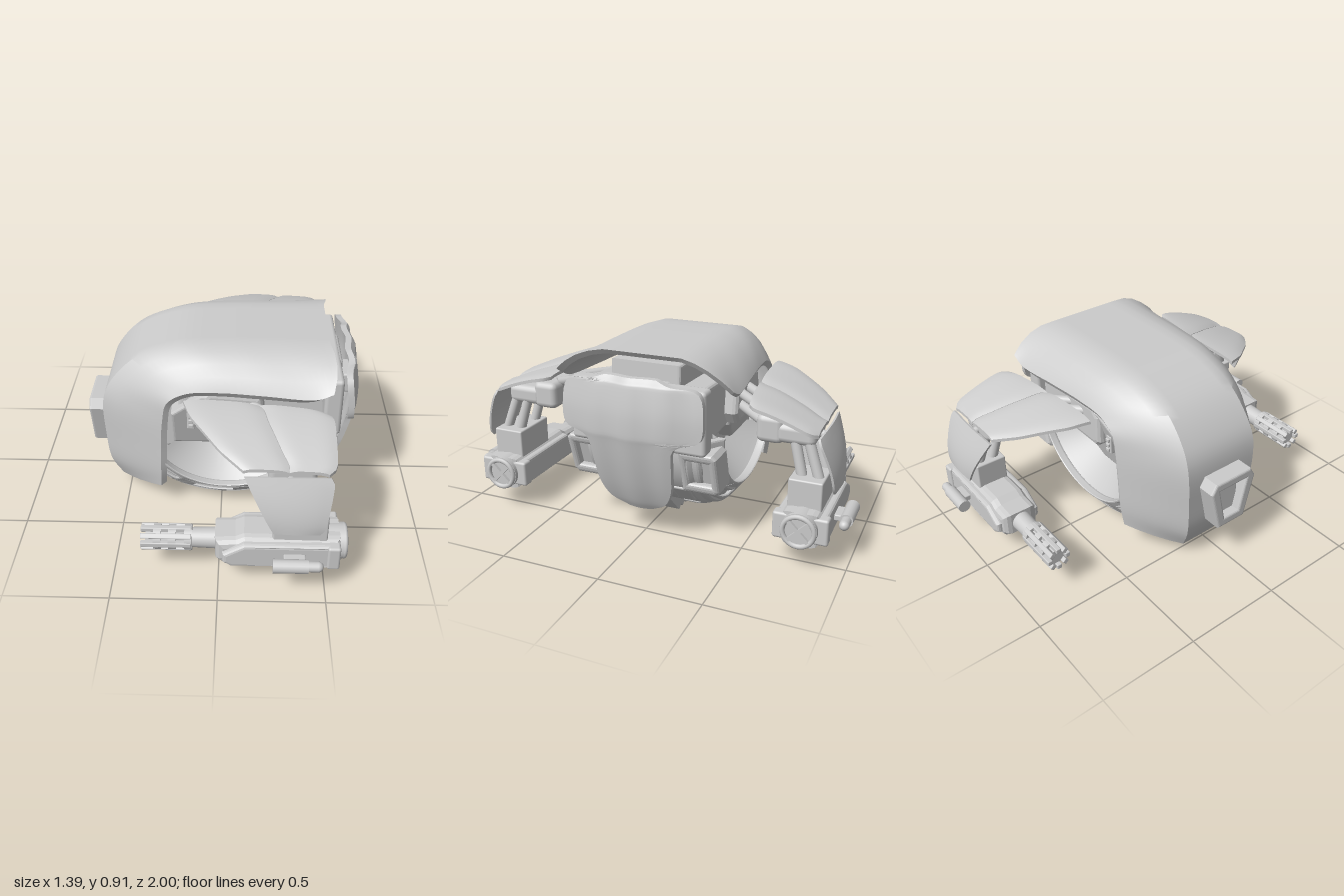
import * as THREE from 'three';
import { toCreasedNormals } from 'three/addons/utils/BufferGeometryUtils.js';
import { RoundedBoxGeometry } from 'three/addons/geometries/RoundedBoxGeometry.js';

const V = (x, y, z) => new THREE.Vector3(x, y, z);
const grey = new THREE.MeshStandardMaterial({ color: 0xcccccc });
const openGrey = new THREE.MeshStandardMaterial({ color: 0xcccccc, side: THREE.DoubleSide });
const { lerp, degToRad, smoothstep } = THREE.MathUtils;

function add(group, name, geo, material = grey) {
  const mesh = new THREE.Mesh(geo, material);
  mesh.name = name;
  group.add(mesh);
}

// rounded box given by its ranges on each axis
function box(x0, x1, y0, y1, z0, z1, r = 0.012) {
  return new RoundedBoxGeometry(x1 - x0, y1 - y0, z1 - z0, 2, r)
    .translate((x0 + x1) / 2, (y0 + y1) / 2, (z0 + z1) / 2);
}

function rod(a, b, r, r2 = r, sides = 16) {
  const d = b.clone().sub(a);
  const q = new THREE.Quaternion().setFromUnitVectors(V(0, 1, 0), d.clone().normalize());
  const c = a.clone().add(b).multiplyScalar(0.5);
  return new THREE.CylinderGeometry(r2, r, d.length(), sides).applyQuaternion(q).translate(c.x, c.y, c.z);
}

// side outline (x, y) extruded from z0 to z1 with bevelled edges
function prism(pts, z0, z1, b = 0.015, hole) {
  const shape = new THREE.Shape(pts.map(p => new THREE.Vector2(...p)));
  if (hole) shape.holes.push(new THREE.Path(hole.map(p => new THREE.Vector2(...p))));
  return new THREE.ExtrudeGeometry(shape, {
    depth: z1 - z0 - 2 * b, bevelEnabled: b > 0, bevelSize: b, bevelThickness: b, bevelOffset: -b, bevelSegments: 3,
  }).translate(0, 0, z0 + b);
}

// outline (z, y) with a hole, extruded along x
const facing = (pts, x0, x1, b, hole) => prism(pts, x0, x1, b, hole).rotateY(Math.PI / 2);

// thick curved panel: outer surface f(u, v), inner surface g(u, v)
function panel(f, g, nu, nv, crease = 0.6) {
  const pos = [], idx = [], L = 2 * (nv + 1);
  for (let i = 0; i <= nu; i++) {
    for (let j = 0; j <= nv; j++) pos.push(...f(i / nu, j / nv).toArray());
    for (let j = nv; j >= 0; j--) pos.push(...g(i / nu, j / nv).toArray());
  }
  const quad = (a, b, c, d) => idx.push(a, b, c, a, c, d);
  for (let i = 0; i < nu; i++) for (let j = 0; j < L; j++) {
    const k = (j + 1) % L;
    quad(i * L + j, i * L + k, (i + 1) * L + k, (i + 1) * L + j);
  }
  const e = nu * L;
  for (let j = 0; j < nv; j++) {
    quad(j, L - 1 - j, L - 2 - j, j + 1);
    quad(e + j, e + j + 1, e + L - 2 - j, e + L - 1 - j);
  }
  // turn the faces outward when the enclosed volume is negative
  const p = i => V(pos[3 * i], pos[3 * i + 1], pos[3 * i + 2]);
  let vol = 0;
  for (let i = 0; i < idx.length; i += 3) vol += p(idx[i]).dot(p(idx[i + 1]).cross(p(idx[i + 2])));
  if (vol < 0) idx.reverse();
  const geo = new THREE.BufferGeometry();
  geo.setAttribute('position', new THREE.Float32BufferAttribute(pos, 3));
  geo.setIndex(idx);
  return toCreasedNormals(geo, crease);
}

// arched cover: ridge line over the middle, edge line down each side
function shell() {
  const ridge = new THREE.CatmullRomCurve3([V(0.52, 0.91, 0.2), V(0.25, 0.912, 0.2), V(0, 0.91, 0.2), V(-0.22, 0.893, 0.2),
    V(-0.42, 0.82, 0.2), V(-0.55, 0.69, 0.205), V(-0.6, 0.58, 0.21), V(-0.605, 0.35, 0.2), V(-0.59, 0.18, 0.19), V(-0.54, 0.065, 0.17)]);
  const edge = new THREE.CatmullRomCurve3([V(0.525, 0.785, 0.455), V(0.45, 0.755, 0.455), V(0.2, 0.755, 0.43), V(0, 0.755, 0.41),
    V(-0.17, 0.735, 0.395), V(-0.26, 0.68, 0.395), V(-0.285, 0.58, 0.395), V(-0.3, 0.4, 0.39), V(-0.305, 0.25, 0.385), V(-0.31, 0.145, 0.37)]);
  const side = [0, 0.25, 0.5, 0.75, 0.93, 1];
  const outer = (u, v) => {
    const s = v * 2 - 1, a = Math.abs(s);
    const R = ridge.getPoint(u), E = edge.getPoint(u);
    if (a < 0.4) return V(R.x, R.y, R.z * s / 0.4);
    const k = side[Math.round((a - 0.4) / 0.12)], q = R.clone().lerp(E, k);
    const bulge = (0.13 - 0.09 * smoothstep(u, 0.3, 0.65)) * k * (1 - k);
    q.add(V(q.x - 0.15, q.y - 0.4, 0).normalize().multiplyScalar(bulge));
    return V(q.x, q.y, (q.z + bulge * 0.35) * Math.sign(s));
  };
  const inner = (u, v) => {
    const q = outer(u, v), d = V(0.1 - q.x, 0.35 - q.y, 0).normalize().multiplyScalar(0.03);
    return V(q.x + d.x, q.y + d.y, q.z * 0.96);
  };
  return panel(outer, inner, 48, 20, 0.6);
}

// rear T-shaped guard: curve holds x, y and half width
function rearGuard() {
  const c = new THREE.CatmullRomCurve3([V(0.645, 0.832, 0.13), V(0.66, 0.81, 0.2), V(0.67, 0.785, 0.33), V(0.688, 0.67, 0.355),
    V(0.69, 0.57, 0.34), V(0.682, 0.52, 0.22), V(0.655, 0.4, 0.2), V(0.62, 0.28, 0.185), V(0.585, 0.19, 0.14), V(0.56, 0.145, 0.06)]);
  const f = (u, v) => {
    const q = c.getPoint(u), z = q.z * (2 * v - 1);
    return V(q.x - 0.4 * z * z + 0.005 * Math.cos(z * 35), q.y, z);
  };
  return panel(f, (u, v) => f(u, v).add(V(-0.03, 0, 0)), 36, 16);
}

// lower ring segment with arc slots, sloping inward toward its outer edge
function slottedRim() {
  const s = new THREE.Shape(), a0 = degToRad(-150), a1 = degToRad(3);
  s.absarc(0, 0, 0.43, a0, a1, false);
  s.absarc(0, 0, 0.335, a1, a0, true);
  for (const deg of [-137, -99, -61, -23]) {
    const a = degToRad(deg - 14), b = degToRad(deg + 14), h = new THREE.Path();
    h.absarc(0, 0, 0.415, Math.max(a, a0 + 0.03), b, false);
    h.absarc(0, 0, 0.365, b, Math.max(a, a0 + 0.03), true);
    s.holes.push(h);
  }
  const geo = new THREE.ExtrudeGeometry(s, { depth: 0.03, bevelSize: 0.01, bevelThickness: 0.01, bevelSegments: 2, curveSegments: 48 });
  const p = geo.attributes.position;
  for (let i = 0; i < p.count; i++) p.setZ(i, p.getZ(i) + 0.335 - 0.8 * (Math.hypot(p.getX(i), p.getY(i)) - 0.335));
  geo.computeVertexNormals();
  return geo.scale(1.17, 1, 1).translate(0.03, 0.485, 0);
}

function buildSide() {
  const g = new THREE.Group();
  add(g, 'slottedRim', slottedRim());
  // shoulder block sloping under, socket and button panel
  const slope = new THREE.Matrix4().makeShear(0, 0, 0, 0.3, 0, 0).setPosition(0, 0, -0.17);
  add(g, 'shoulderBlock', prism([[-0.25, 0.35], [0, 0.35], [0.12, 0.46], [0.2, 0.7], [-0.1, 0.7], [-0.25, 0.57]], 0.1, 0.33, 0.015).applyMatrix4(slope));
  add(g, 'shoulderSocket', prism([[-0.11, 0.53], [-0.08, 0.5], [0.18, 0.5], [0.22, 0.56], [0.2, 0.71], [-0.06, 0.73], [-0.11, 0.68]], 0.25, 0.37, 0.03));
  add(g, 'buttonPanel', box(-0.17, -0.13, 0.49, 0.59, 0.3, 0.34, 0.006));
  for (let i = 0; i < 3; i++) add(g, 'button', box(-0.162, -0.138, 0.502 + i * 0.028, 0.522 + i * 0.028, 0.33, 0.35, 0.004));
  // rear vent, leaning back
  const lean = new THREE.Matrix4().makeShear(0, 0, 0.3, 0, 0, 0).setPosition(-0.144, 0, 0);
  add(g, 'ventFrame', facing([[-0.39, 0.27], [-0.37, 0.25], [-0.2, 0.25], [-0.2, 0.48], [-0.37, 0.48], [-0.39, 0.46]], 0.42, 0.58, 0.018,
    [[-0.35, 0.3], [-0.24, 0.3], [-0.24, 0.43], [-0.35, 0.43]]).applyMatrix4(lean));
  add(g, 'ventFloor', box(0.42, 0.54, 0.28, 0.45, 0.22, 0.37).applyMatrix4(lean));
  // upper arm
  for (const dx of [0, 0.11]) for (const y of [0.595, 0.655])
    add(g, 'upperArmRod', rod(V(0.02 + dx, y, 0.34), V(0.25 + dx, y, 0.56), 0.024));
  add(g, 'elbow', box(0.18, 0.44, 0.53, 0.665, 0.53, 0.66, 0.03));
  add(g, 'elbowEnd', box(0.22, 0.44, 0.54, 0.635, 0.62, 0.81, 0.03));
  add(g, 'wingPost', rod(V(0.3, 0.62, 0.62), V(0.3, 0.69, 0.64), 0.03));
  add(g, 'skirtBracket', rod(V(0.32, 0.58, 0.78), V(0.32, 0.56, 0.865), 0.02));
  // forearm
  for (const x of [0.3, 0.43]) for (const dz of [0, 0.08])
    add(g, 'forearmRod', rod(V(x - 0.02, 0.57, 0.71 + dz * 0.8), V(x, 0.38, 0.76 + dz), 0.025));
  add(g, 'gunMount', box(0.25, 0.5, 0.22, 0.405, 0.71, 0.87, 0.008));
  // wing plates
  const left = new THREE.CatmullRomCurve3([V(-0.175, 0, 0), V(-0.14, 0, 0), V(-0.07, 0, 0), V(0.005, 0, 0), V(0.11, 0, 0)]);
  for (const [a, b] of [[0, 0.535], [0.54, 1]]) {
    const f = (u, t) => {
      const v = lerp(a, b, t), tip = Math.pow(Math.abs(2 * u - 1), 8) * 0.04;
      return V(lerp(left.getPoint(u).x, 0.525 - tip, v), 0.752 - 0.1 * Math.pow(u, 1.5) - 0.015 * v - 0.012 * Math.pow(2 * t - 1, 4),
        lerp(0.455 + 0.06 * v * v, 0.835, u));
    };
    add(g, 'wingPlate', panel(f, (u, t) => f(u, t).add(V(0, -0.016, 0)), 14, 12));
  }
  // skirt plate
  const skirt = (u, v) => V(lerp(lerp(0.115, 0.25, u), lerp(0.515, 0.475, u) - 0.02 * Math.pow(2 * u - 1, 8), v),
    0.62 - 0.265 * u - 0.008 * Math.pow(2 * v - 1, 4), 0.855 + 0.075 * Math.sin(u * Math.PI / 2) - 0.01 * Math.pow(2 * v - 1, 2));
  add(g, 'skirtPlate', panel(skirt, (u, v) => skirt(u, v).add(V(0, -0.003, -0.01)), 12, 10));
  addGun(g);
  return g;
}

function addGun(side) {
  const g = new THREE.Group();
  g.name = 'gun';
  side.add(g);
  const y = 0.195, z = 0.79;
  // body with recessed side panels
  add(g, 'gunBody', prism([[-0.015, 0.14], [0.02, 0.11], [0.56, 0.11], [0.56, 0.275], [0.12, 0.28], [0.08, 0.26], [-0.015, 0.255]], 0.695, 0.885, 0.04));
  for (const [z0, z1] of [[0.67, 0.72], [0.86, 0.91]]) {
    add(g, 'gunSidePanel', prism([[0.06, 0.125], [0.54, 0.125], [0.54, 0.26], [0.12, 0.26], [0.02, 0.2], [0.02, 0.15]], z0, z1, 0.018,
      [[0.19, 0.155], [0.5, 0.155], [0.5, 0.235], [0.19, 0.235]]));
  }
  add(g, 'gunRear', box(0.5, 0.56, 0.13, 0.26, 0.66, 0.92));
  // round rear end with ring and cross
  add(g, 'gunRearCollar', rod(V(0.5, y, z), V(0.58, y, z), 0.085, 0.085, 32));
  add(g, 'rearRing', new THREE.TorusGeometry(0.073, 0.012, 10, 32).rotateY(Math.PI / 2).translate(0.586, y, z));
  for (const a of [1, -1]) add(g, 'rearCross', new THREE.BoxGeometry(0.03, 0.14, 0.018).rotateX(a * Math.PI / 4).translate(0.58, y, z));
  // barrel and slotted muzzle
  add(g, 'barrel', rod(V(-0.14, y, z), V(0.02, y, z), 0.046, 0.052, 24));
  add(g, 'barrelCore', rod(V(-0.34, y, z), V(-0.1, y, z), 0.042, 0.042, 20));
  for (const x of [-0.285, -0.215, -0.14]) add(g, 'muzzleRing', rod(V(x - 0.018, y, z), V(x + 0.018, y, z), 0.06, 0.06, 24));
  for (let i = 0; i < 8; i++) {
    add(g, 'muzzleBar', box(-0.363, -0.125, 0.036, 0.062, -0.013, 0.013, 0.005).rotateX(i * Math.PI / 4).translate(0, y, z));
  }
  // outer pod
  add(g, 'podStub', box(0.3, 0.4, 0.185, 0.215, 0.89, 0.96, 0.006));
  add(g, 'pod', rod(V(0.25, 0.2, 0.968), V(0.41, 0.2, 0.968), 0.032));
  add(g, 'podBarrel', new THREE.CapsuleGeometry(0.024, 0.18, 6, 16).rotateZ(Math.PI / 2).translate(0.365, 0.2, 0.968));
}

export function createModel() {
  const model = new THREE.Group();
  add(model, 'shell', shell());
  add(model, 'rearGuard', rearGuard());

  // dished lower hull, swept around the underside only
  const half = [[0.455, 0], [0.453, 0.24], [0.43, 0.275], [0.335, 0.34], [0.31, 0.31], [0.2, 0.2], [0, 0.19]];
  const profile = [...half.slice(1).reverse().map(([r, z]) => [r, -z]), ...half].map(p => new THREE.Vector2(...p));
  const hull = new THREE.LatheGeometry(profile, 48, degToRad(-62), degToRad(157)).rotateX(Math.PI / 2).scale(1.17, 1, 1);
  add(model, 'lowerHull', toCreasedNormals(hull.translate(0.03, 0.485, 0), 0.5), openGrey);
  // pads around the underside
  for (const s of [1, -1]) for (let i = 0; i < 5; i++) {
    add(model, 'hullPad', new RoundedBoxGeometry(0.05, 0.13, 0.1, 2, 0.012).translate(0.433, 0, s * 0.18)
      .rotateZ(-2.35 + i * 0.42).scale(1.17, 1, 1).translate(0.03, 0.485, 0));
  }

  // upper torso under the shell
  add(model, 'torso', prism([[-0.56, 0.22], [-0.57, 0.58], [-0.42, 0.76], [-0.2, 0.84], [0.48, 0.86], [0.5, 0.4], [0, 0.3]], -0.18, 0.18));
  add(model, 'torsoSides', prism([[-0.22, 0.55], [-0.2, 0.72], [0.5, 0.76], [0.53, 0.46], [0.2, 0.48]], -0.3, 0.3, 0.02));
  add(model, 'rearPlate', box(0.5, 0.59, 0.47, 0.785, -0.345, 0.345, 0.02));
  add(model, 'rearSpine', box(0.45, 0.6, 0.4, 0.78, -0.14, 0.14, 0.02));
  add(model, 'guardBracket', box(0.55, 0.665, 0.55, 0.66, -0.08, 0.08));

  // ribbed belly
  const teeth = [];
  for (let i = 0; i <= 24; i++) teeth.push([-0.28 + i * 0.55 / 24, i % 2 ? 0 : 0.02]);
  add(model, 'bellyRibs', prism([[-0.34, 0.09], ...teeth, [0.36, 0.11], [0.3, 0.2], [-0.3, 0.2]], -0.07, 0.07, 0));

  // nose sensor frame
  add(model, 'noseFrame', facing([[-0.085, 0.23], [0.085, 0.23], [0.14, 0.46], [0.11, 0.51], [-0.11, 0.51], [-0.14, 0.46]], -0.697, -0.57, 0.012,
    [[-0.045, 0.28], [0.045, 0.28], [0.085, 0.46], [-0.085, 0.46]]));
  add(model, 'noseLens', box(-0.65, -0.58, 0.26, 0.48, -0.07, 0.07));

  // both flanks with arms and guns
  for (const s of [1, -1]) {
    const side = buildSide();
    side.name = s > 0 ? 'frontSideArm' : 'backSideArm';
    side.scale.z = s;
    model.add(side);
  }
  return model;
}
